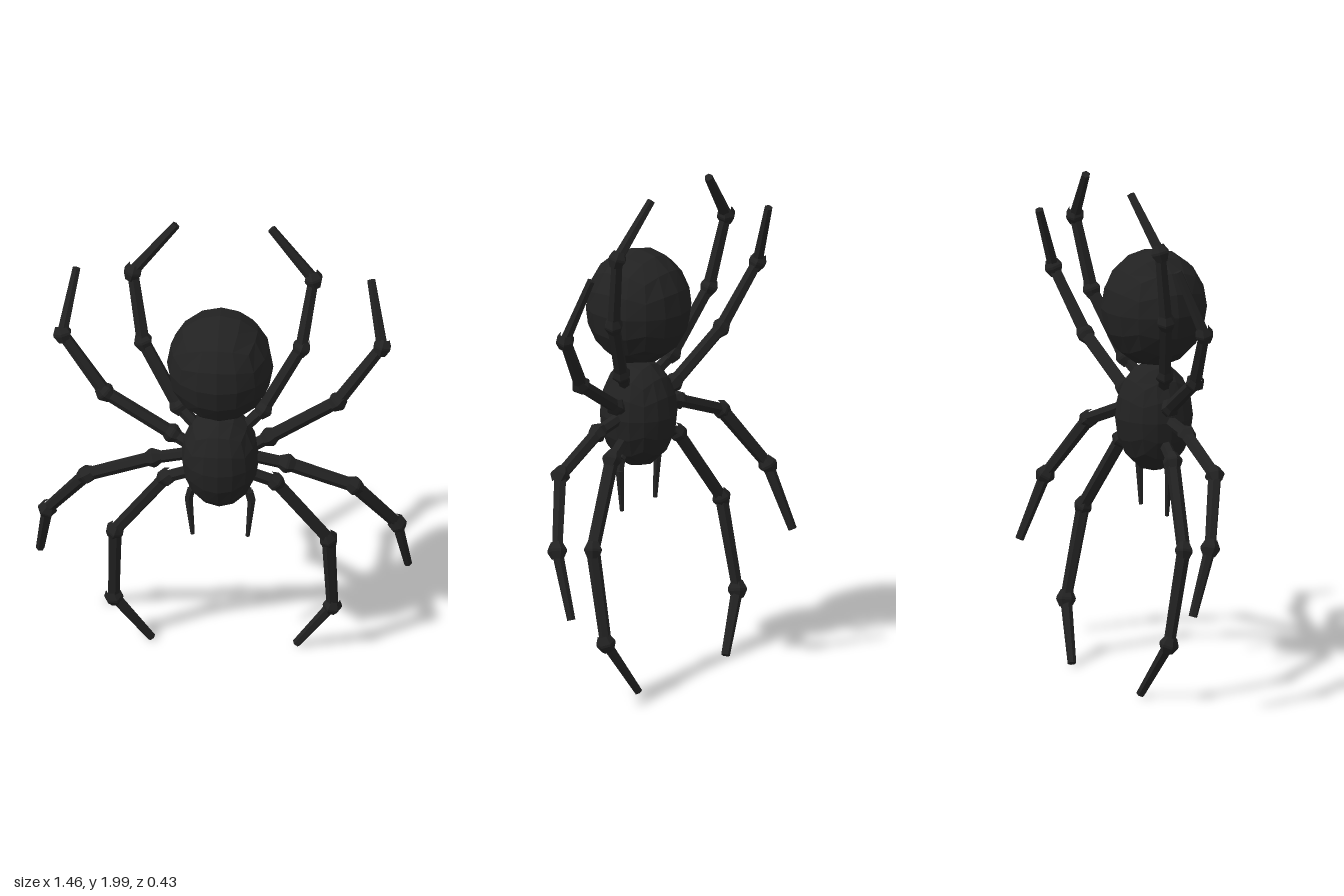
import * as THREE from 'three';

const material = new THREE.MeshStandardMaterial({ color: 0x222222, flatShading: true });
const UP = new THREE.Vector3(0, 1, 0);

function add(parent, name, geometry) {
  const mesh = new THREE.Mesh(geometry, material);
  mesh.name = name;
  parent.add(mesh);
  return mesh;
}

// Subdivided cube pushed out to an ellipsoid
function quadBall(rx, ry, rz) {
  const geometry = new THREE.BoxGeometry(2, 2, 2, 4, 4, 4);
  const p = geometry.attributes.position;
  const v = new THREE.Vector3();
  const even = (t) => Math.tan((t * Math.PI) / 4);
  for (let i = 0; i < p.count; i++) {
    v.fromBufferAttribute(p, i);
    v.set(even(v.x), even(v.y), even(v.z)).normalize();
    p.setXYZ(i, v.x * rx, v.y * ry, v.z * rz);
  }
  geometry.computeVertexNormals();
  return geometry;
}

// Tapered six-sided rod from a to b
function rod(parent, name, a, b, ra, rb) {
  const dir = b.clone().sub(a);
  const mesh = add(parent, name, new THREE.CylinderGeometry(rb, ra, dir.length(), 6));
  mesh.position.copy(a).add(b).multiplyScalar(0.5);
  mesh.quaternion.setFromUnitVectors(UP, dir.normalize());
}

// Angular knuckle, widest in the middle, lined up with the limb
function knuckle(parent, at, dir, r) {
  const profile = [[0.6, -0.9], [1, -0.1], [1, 0.15], [0.6, 0.9]];
  const geometry = new THREE.LatheGeometry(profile.map(([x, y]) => new THREE.Vector2(x * r, y * r)), 6);
  const mesh = add(parent, 'joint', geometry);
  mesh.position.copy(at);
  mesh.quaternion.setFromUnitVectors(UP, dir);
}

// Hip, three bends and tip of each leg on the left side
const LEGS = {
  hindLeg: [[0.10, 1.18, 0], [0.165, 1.24, -0.03], [0.308, 1.49, -0.1], [0.352, 1.782, -0.15], [0.185, 1.985, -0.19]],
  upperMiddleLeg: [[0.12, 1.08, 0], [0.19, 1.115, -0.02], [0.452, 1.275, -0.05], [0.622, 1.51, -0.1], [0.573, 1.76, -0.19]],
  lowerMiddleLeg: [[0.12, 1.045, 0.01], [0.26, 1.018, 0.015], [0.52, 0.915, 0], [0.68, 0.67, -0.105], [0.715, 0.415, -0.2]],
  foreLeg: [[0.10, 0.96, 0], [0.212, 0.905, -0.02], [0.415, 0.6, -0.08], [0.425, 0.235, -0.15], [0.282, 0.012, -0.2]],
};
const SEGMENTS = ['hip', 'thigh', 'shin', 'foot'];
const START = [0.024, 0.027, 0.027, 0.023];
const END = [0.024, 0.026, 0.023, 0.017];

function buildLeg(name, path, side) {
  const leg = new THREE.Group();
  leg.name = name;
  const pts = path.map(([x, y, z]) => new THREE.Vector3(x * side, y, z));
  for (let i = 0; i < 4; i++) {
    rod(leg, SEGMENTS[i], pts[i], pts[i + 1], START[i], END[i]);
    if (i > 0) knuckle(leg, pts[i], pts[i + 1].clone().sub(pts[i - 1]).normalize(), 0.038);
  }
  return leg;
}

// Curved fang: short root, elbow, long taper
function buildFang(side) {
  const fang = new THREE.Group();
  fang.name = 'fang';
  const pts = [[0.08, 0.9], [0.112, 0.873], [0.122, 0.83], [0.107, 0.662]]
    .map(([x, y]) => new THREE.Vector3(x * side, y, 0.01));
  const r = [0.014, 0.017, 0.017, 0.009];
  for (let i = 0; i < 3; i++) rod(fang, 'fangSegment', pts[i], pts[i + 1], r[i], r[i + 1]);
  return fang;
}

export function createModel() {
  const group = new THREE.Group();
  group.name = 'spider';

  // Body
  add(group, 'abdomen', quadBall(0.207, 0.232, 0.207)).position.set(0, 1.472, 0.01);
  add(group, 'thorax', quadBall(0.152, 0.22, 0.152)).position.set(0, 1.04, 0.01);

  // Limbs on both sides
  for (const side of [1, -1]) {
    const prefix = side > 0 ? 'left' : 'right';
    for (const [name, path] of Object.entries(LEGS)) {
      group.add(buildLeg(prefix + name[0].toUpperCase() + name.slice(1), path, side));
    }
    const fang = buildFang(side);
    fang.name = prefix + 'Fang';
    group.add(fang);
  }
  return group;
}
